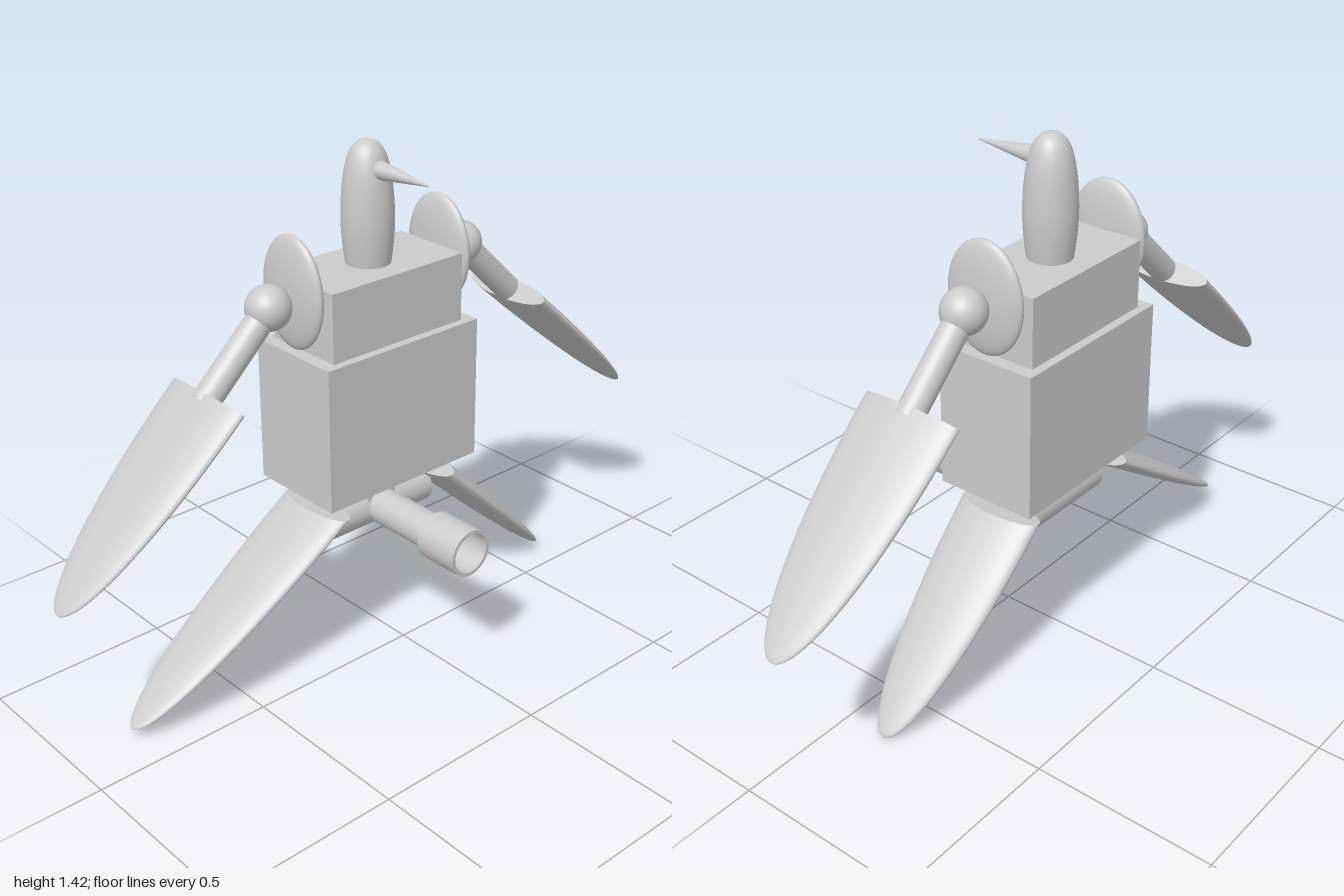
import * as THREE from 'three';

const material = new THREE.MeshStandardMaterial({ color: 0xcccccc });
const CX = -0.01, CZ = -0.124; // shared body axis

export function createModel() {
  const model = new THREE.Group();

  const add = (name, geometry, x, y, z = CZ) => {
    const mesh = new THREE.Mesh(geometry, material);
    mesh.name = name;
    mesh.position.set(x, y, z);
    model.add(mesh);
    return mesh;
  };

  // Half-ellipsoid blade: base ellipse spanned by u and z, tapering to the tip
  const blade = (name, base, tip, u, halfWidth) => {
    const geometry = new THREE.CylinderGeometry(1, 1, 1, 40, 24);
    const p = geometry.attributes.position;
    for (let i = 0; i < p.count; i++) {
      const a = (0.5 - p.getY(i)) * Math.PI / 2;
      const t = Math.sin(a), r = Math.max(Math.cos(a), 0.004);
      const x = p.getX(i) * r, z = p.getZ(i) * r;
      p.setXYZ(i,
        (tip[0] - base[0]) * t + u[0] * x,
        (tip[1] - base[1]) * t + u[1] * x,
        halfWidth * z);
    }
    geometry.computeVertexNormals();
    return add(name, geometry, base[0], base[1]);
  };

  // Torso blocks
  add('lowerBody', new THREE.BoxGeometry(0.516, 0.402, 0.288), CX, 0.712);
  add('upperBody', new THREE.BoxGeometry(0.442, 0.19, 0.24), CX, 1.006);
  add('waist', new THREE.BoxGeometry(0.096, 0.13, 0.096), CX, 0.455);

  // Domed head and pointed beak
  const headProfile = new THREE.SplineCurve([
    [0.06, 0], [0.067, 0.06], [0.07, 0.12], [0.067, 0.19], [0.059, 0.25],
    [0.045, 0.295], [0.024, 0.319], [0, 0.325],
  ].map(([r, y]) => new THREE.Vector2(r, y))).getPoints(28);
  headProfile[headProfile.length - 1].x = 0;
  add('head', new THREE.LatheGeometry(headProfile, 40), CX, 1.1);
  const beak = add('beak', new THREE.CylinderGeometry(0.002, 0.028, 0.2, 24), CX, 1.355, 0);
  beak.rotation.x = Math.PI / 2;

  // Shoulders, arms and wing blades
  const arms = [
    { side: 'right', disc: -0.258, ball: [-0.337, 1.06], base: [-0.53, 0.878], tip: [-1, 0.45] },
    { side: 'left', disc: 0.241, ball: [0.32, 1.075], base: [0.509, 0.891], tip: [1, 0.458] },
  ];
  for (const { side, disc, ball, base, tip } of arms) {
    const shoulder = add(side + 'ShoulderDisc', new THREE.SphereGeometry(1, 40, 24), disc, 1.08);
    shoulder.scale.set(0.031, 0.152, 0.115);
    add(side + 'ShoulderBall', new THREE.SphereGeometry(0.06, 32, 20), ball[0], ball[1]);

    const dir = new THREE.Vector2(tip[0] - base[0], tip[1] - base[1]).normalize();
    const length = Math.hypot(base[0] - ball[0], base[1] - ball[1]) + 0.02;
    const arm = add(side + 'Arm', new THREE.CylinderGeometry(0.037, 0.037, length, 32),
      (ball[0] + base[0] + dir.x * 0.02) / 2, (ball[1] + base[1] + dir.y * 0.02) / 2);
    arm.rotation.z = Math.atan2(base[1] - ball[1], base[0] - ball[0]) + Math.PI / 2;

    blade(side + 'Wing', base, tip, [-dir.y * 0.032, dir.x * 0.032], 0.143);
  }

  // Leg blades with level tops
  blade('rightLeg', [-0.198, 0.453], [-0.825, 0.028], [0.045, -0.005], 0.123);
  blade('leftLeg', [0.184, 0.453], [0.656, 0.004], [0.045, 0.005], 0.123);

  // Hip tube
  const hip = add('hipTube', new THREE.CylinderGeometry(0.056, 0.056, 0.362, 40), CX, 0.393);
  hip.rotation.z = Math.PI / 2;

  // Forward pipe with a hollow collar
  const pipe = add('frontPipe', new THREE.CylinderGeometry(0.05, 0.05, 0.265, 40), CX, 0.4, 0.0105);
  pipe.rotation.x = Math.PI / 2;
  const section = new THREE.Shape().absarc(0, 0, 0.066, 0, Math.PI * 2);
  section.holes.push(new THREE.Path().absarc(0, 0, 0.056, 0, Math.PI * 2, true));
  add('pipeCollar', new THREE.ExtrudeGeometry(section,
    { depth: 0.134, bevelEnabled: false, curveSegments: 48 }), CX, 0.4, 0.14);
  const floor = add('collarFloor', new THREE.CylinderGeometry(0.06, 0.06, 0.006, 40), CX, 0.4, 0.144);
  floor.rotation.x = Math.PI / 2;

  return model;
}
